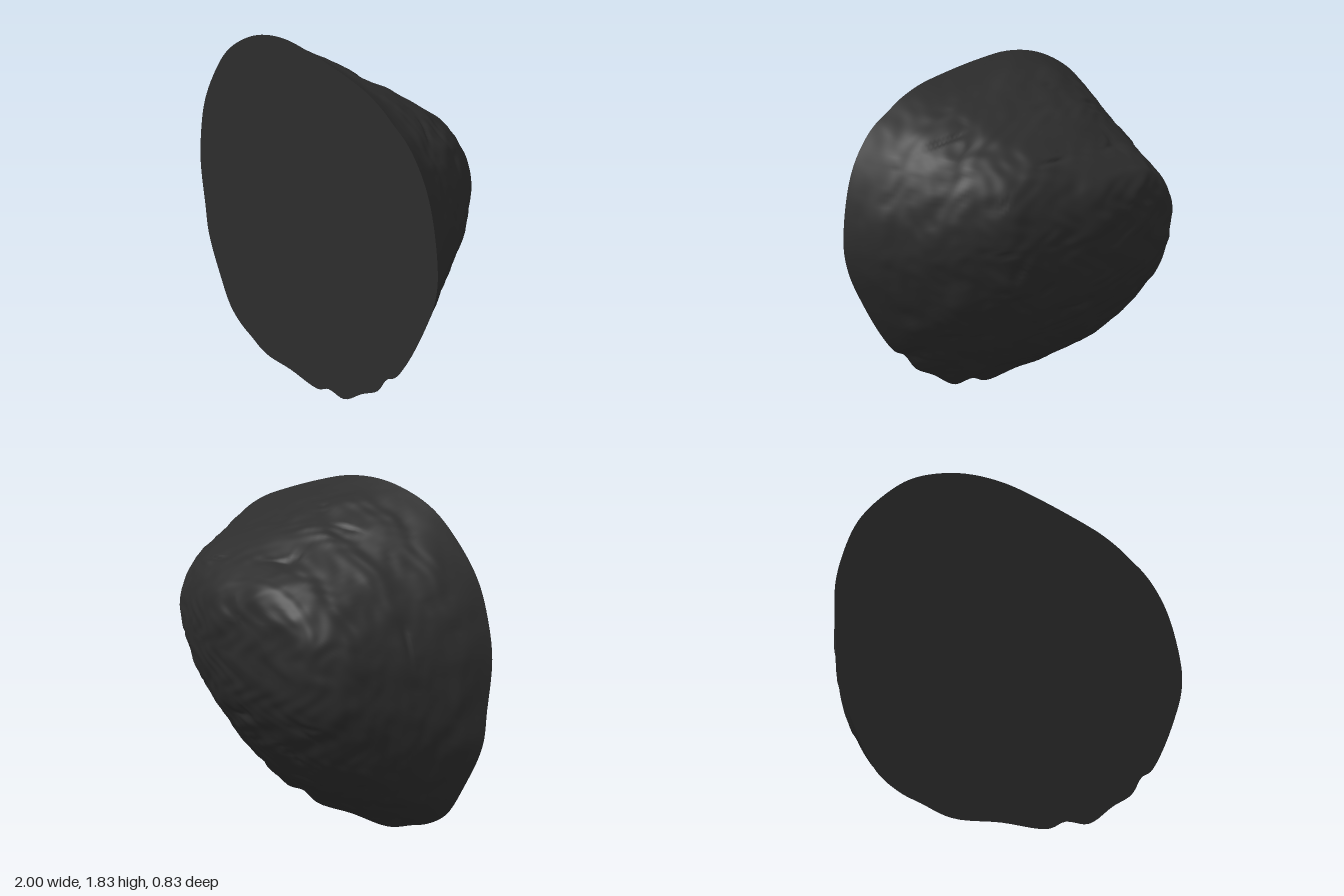
import * as THREE from 'three';

// Rim of the flat cut face (x, y), counter-clockwise
const RIM = [
  [1, 1.03], [0.97, 1.25], [0.92, 1.4], [0.85, 1.51], [0.78, 1.58], [0.7, 1.63], [0.62, 1.68],
  [0.5, 1.73], [0.33, 1.77], [0.1, 1.81], [-0.1, 1.83], [-0.3, 1.81], [-0.48, 1.75], [-0.65, 1.65],
  [-0.8, 1.49], [-0.91, 1.32], [-0.97, 1.14], [-1, 0.95], [-0.98, 0.7], [-0.96, 0.52],
  [-0.86, 0.3], [-0.76, 0.14], [-0.65, 0.07], [-0.55, 0.04], [-0.4, 0], [-0.15, 0.02], [0.1, 0.03],
  [0.2, 0.08], [0.33, 0.09], [0.48, 0.2], [0.6, 0.28], [0.67, 0.38], [0.73, 0.42],
  [0.82, 0.55], [0.93, 0.77], [0.98, 0.9],
];

// Cross-sections from the cut towards the back: z, left, right, bottom, top
const SECTIONS = [
  [0.41, -1, 1, 0, 1.83], [0.3, -0.95, 0.92, 0.08, 1.76], [0.2, -0.9, 0.85, 0.15, 1.71],
  [0.1, -0.85, 0.79, 0.22, 1.65], [0, -0.8, 0.72, 0.31, 1.59], [-0.1, -0.75, 0.64, 0.42, 1.52],
  [-0.2, -0.7, 0.54, 0.55, 1.44], [-0.27, -0.65, 0.4, 0.64, 1.39], [-0.33, -0.58, 0.25, 0.75, 1.34],
  [-0.37, -0.52, 0.14, 0.86, 1.3], [-0.4, -0.42, 0.03, 1, 1.23], [-0.412, -0.15, -0.1, 1.12, 1.16],
];

const SEGMENTS = 180, RINGS = 110;
const RIDGE_TILT = 0.07;

// One smooth curve per column of the section table
const columns = SECTIONS[0].map((_, c) =>
  new THREE.SplineCurve(SECTIONS.map((s, i) => new THREE.Vector2(i, s[c]))));

// Gentle waves, fine grain and a few thin cracks for the weathered surface
function bump(x, y, z) {
  const wave = (f, a) => Math.sin(f * x + a + 1.7 * Math.sin(f * 0.6 * y)) *
    Math.sin(f * 0.9 * y - a + 1.3 * Math.sin(f * 0.7 * z)) * Math.cos(f * 0.8 * z + 2 * a);
  const crack = Math.max(0, 1 - 9 * Math.abs(wave(9, 0.7))) * Math.max(0, wave(14, 2.6));
  return 0.005 * wave(7, 0.4) + 0.007 * wave(18, 1.3) + 0.004 * wave(41, 2.1) - 0.014 * crack;
}

export function createModel() {
  const group = new THREE.Group();
  group.name = 'halfBoulder';
  const material = new THREE.MeshStandardMaterial({ color: 0x2d2d2d });

  const curve = new THREE.CatmullRomCurve3(RIM.map(([x, y]) => new THREE.Vector3(x, y, 0)), true);
  const rim = Array.from({ length: SEGMENTS }, (_, i) => curve.getPoint(i / SEGMENTS));

  // Softened rim, so its notches fade towards the back
  const soft = rim.map((_, i) => {
    const sum = new THREE.Vector3();
    for (let k = -4; k <= 4; k++) sum.add(rim[(i + k + SEGMENTS) % SEGMENTS]);
    return sum.divideScalar(9);
  });

  // Rough shell: the rim shrinks, shifts and tilts through the sections to the back
  const positions = [], index = [];
  for (let r = 0; r <= RINGS; r++) {
    const t = r / RINGS;
    const [z, left, right, bottom, top] = columns.map((c) => c.getPoint(t).y);
    const rough = Math.min(1, t * 8);
    const tilt = RIDGE_TILT * THREE.MathUtils.smoothstep(t, 0, 0.6) * (right - left) / 1.2;
    for (let i = 0; i < SEGMENTS; i++) {
      const p = rim[i].clone().lerp(soft[i], Math.min(1, t * 4));
      const x = THREE.MathUtils.lerp(left, right, (p.x + 1) / 2);
      const y = THREE.MathUtils.lerp(bottom, top, p.y / 1.83) + tilt * p.x;
      const out = new THREE.Vector3(x + 0.12, y - 1.05, z - 0.41).normalize();
      const d = rough * bump(x, y, z);
      positions.push(x + out.x * d, y + out.y * d, z + out.z * d);
    }
  }
  for (let r = 0; r < RINGS; r++) {
    for (let i = 0; i < SEGMENTS; i++) {
      const j = (i + 1) % SEGMENTS;
      const a = r * SEGMENTS + i, b = r * SEGMENTS + j;
      index.push(a, a + SEGMENTS, b, b, a + SEGMENTS, b + SEGMENTS);
    }
  }
  // Close the small last ring at the back
  const last = RINGS * SEGMENTS, tip = positions.length / 3;
  positions.push(-0.125, 1.14, -0.412);
  for (let i = 0; i < SEGMENTS; i++) index.push(last + i, tip, last + (i + 1) % SEGMENTS);

  const shell = new THREE.BufferGeometry();
  shell.setAttribute('position', new THREE.Float32BufferAttribute(positions, 3));
  shell.setIndex(index);
  shell.computeVertexNormals();
  const rock = new THREE.Mesh(shell, material);
  rock.name = 'rockShell';

  // Flat cut face at the front
  const shape = new THREE.Shape(rim.map((p) => new THREE.Vector2(p.x, p.y)));
  const cut = new THREE.Mesh(new THREE.ShapeGeometry(shape), material);
  cut.position.z = 0.41;
  cut.name = 'flatFace';

  group.add(rock, cut);
  return group;
}
